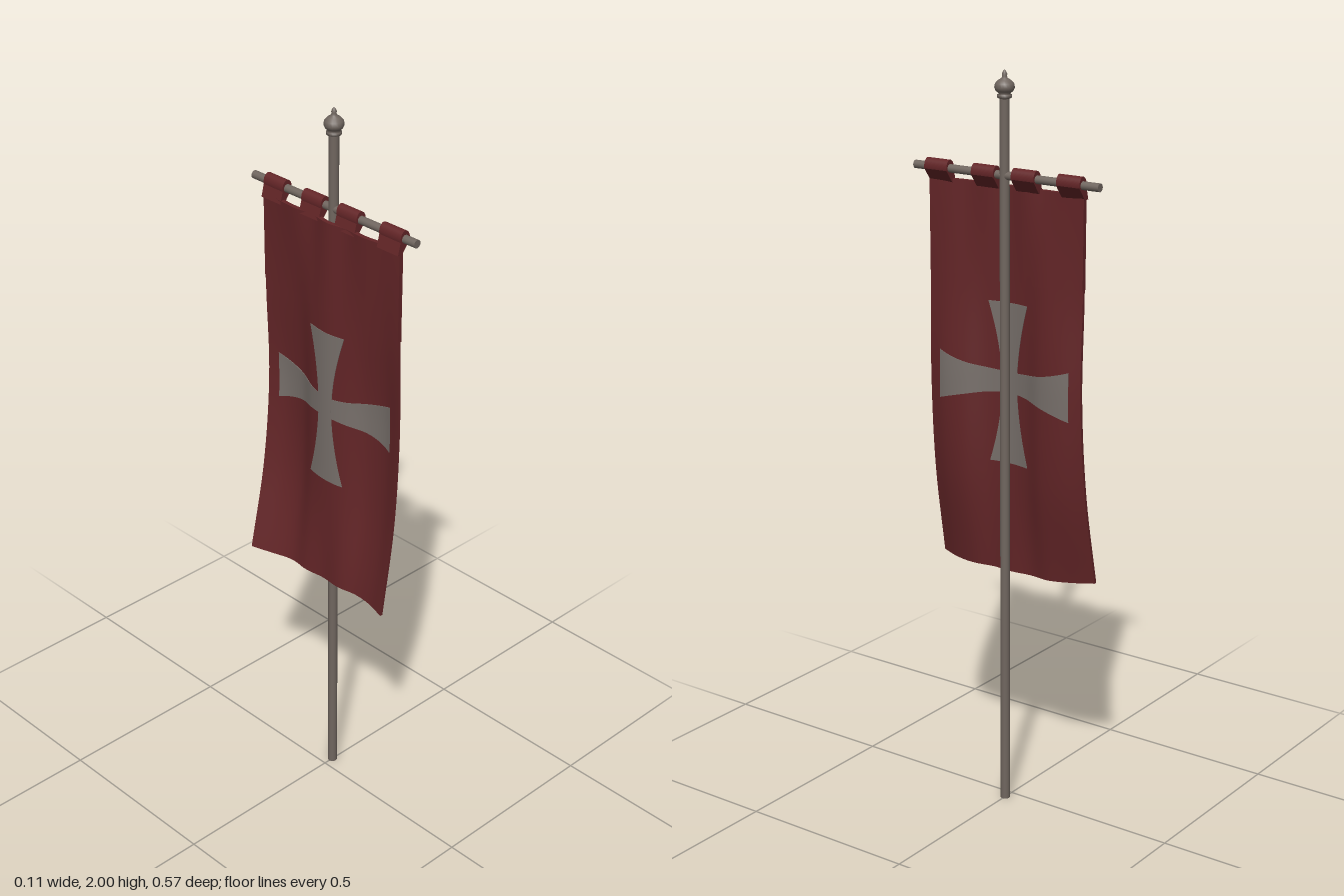
import * as THREE from 'three';

const POLE_X = 0.03, BAR_Y = 1.735;
const TOP = 1.705, BOTTOM = 0.656, Z0 = -0.237, Z1 = 0.245;

// Sideways sway of the cloth: rows run top to bottom, columns from back to front
const SWAY = [
  [0.018, 0.014, 0.010, 0.016, 0.006, 0.014, 0.010, 0.016, 0.018],
  [0.020, 0.026, 0.026, 0.012, 0.004, 0.012, 0.022, 0.026, 0.018],
  [0.026, 0.040, 0.036, 0.013, 0.002, 0.011, 0.036, 0.040, 0.022],
  [0.002, 0.026, 0.029, 0.008, 0.000, 0.005, 0.032, 0.030, 0.008],
  [-0.051, -0.027, -0.009, -0.014, -0.008, -0.012, -0.003, -0.010, -0.031],
];

// Smooth curve through evenly spaced values, t from 0 to 1
function smooth(values, t) {
  const n = values.length - 1;
  const f = THREE.MathUtils.clamp(t, 0, 1) * n;
  const i = Math.min(Math.floor(f), n - 1), k = f - i;
  const b = values[i], c = values[i + 1];
  const a = i > 0 ? values[i - 1] : 2 * b - c;
  const d = i + 2 <= n ? values[i + 2] : 2 * c - b;
  return b + 0.5 * k * (c - a + k * (2 * a - 5 * b + 4 * c - d + k * (3 * (b - c) + d - a)));
}

function clothX(y, z) {
  const t = (TOP - y) / (TOP - BOTTOM), u = (z - Z0) / (Z1 - Z0);
  return smooth(SWAY.map((row) => smooth(row, u)), t);
}

// Thin slab following the cloth; place(u, v) gives [z, y] for u, v in -1..1
function drape(name, material, half, nu, nv, place) {
  const geo = new THREE.BoxGeometry(2, 2, 2, 1, nv, nu);
  const p = geo.attributes.position;
  for (let i = 0; i < p.count; i++) {
    const [z, y] = place(p.getZ(i), p.getY(i));
    p.setXYZ(i, clothX(y, z) + p.getX(i) * half, y, z);
  }
  geo.computeVertexNormals();
  const mesh = new THREE.Mesh(geo, material);
  mesh.name = name;
  return mesh;
}

export function createModel() {
  const group = new THREE.Group();
  group.name = 'banner';
  const mat = (name, color) => {
    const m = new THREE.MeshStandardMaterial({ color });
    m.name = name;
    return m;
  };
  const metal = mat('pole grey', 0x70665f);
  const red = mat('cloth red', 0x632527);
  const pale = mat('cross grey', 0x78706b);
  const add = (name, geo, material, x = 0, y = 0, z = 0) => {
    const mesh = new THREE.Mesh(geo, material);
    mesh.name = name;
    mesh.position.set(x, y, z);
    group.add(mesh);
    return mesh;
  };

  // Upright pole and crossbar
  add('pole', new THREE.CylinderGeometry(0.013, 0.013, 1.94, 16), metal, POLE_X, 0.97, 0);
  add('crossbar', new THREE.CylinderGeometry(0.011, 0.011, 0.574, 16), metal, POLE_X, BAR_Y, -0.002)
    .rotation.x = Math.PI / 2;

  // Turned finial
  const profile = [
    [0.013, 1.928], [0.019, 1.931], [0.019, 1.938], [0.014, 1.941], [0.022, 1.947], [0.026, 1.956],
    [0.024, 1.966], [0.017, 1.974], [0.008, 1.979], [0.006, 1.984], [0.007, 1.989], [0.004, 1.996], [0, 2],
  ].map(([r, y]) => new THREE.Vector2(r, y));
  add('finial', new THREE.LatheGeometry(profile, 20), metal, POLE_X, 0, 0);

  // Cloth with slightly rippled hem and a doubled upper band
  const zAt = (u) => THREE.MathUtils.mapLinear(u, -1, 1, Z0, Z1);
  group.add(drape('cloth', red, 0.004, 56, 64, (u, v) => {
    const hem = BOTTOM + 0.006 * u * u * u * u;
    return [zAt(u), THREE.MathUtils.mapLinear(v, -1, 1, hem, TOP)];
  }));
  group.add(drape('upperBand', red, 0.006, 56, 16, (u, v) => [
    zAt(u), THREE.MathUtils.mapLinear(v, -1, 1, 1.463 + 0.004 * Math.sin(u * 5), TOP + 0.002),
  ]));

  // Flared cross showing on both faces
  const flare = (s) => 0.024 + 0.038 * Math.pow(Math.abs(s), 1.8);
  group.add(drape('crossUpright', pale, 0.0056, 12, 40, (u, v) => [u * flare(v), 1.183 + v * 0.218]));
  group.add(drape('crossArms', pale, 0.0056, 40, 12, (u, v) => [u * 0.205, 1.187 + v * (flare(u) + 0.004)]));

  // Hanging loops wrapped over the crossbar
  const loop = new THREE.Shape();
  loop.moveTo(-0.024, -0.038);
  loop.lineTo(-0.009, -0.038);
  loop.lineTo(0.015, -0.006);
  loop.absellipse(0, 0, 0.016, 0.022, -0.25, Math.PI + 0.25, false);
  loop.closePath();
  const hole = new THREE.Path();
  hole.absarc(0, 0, 0.0105, 0, Math.PI * 2, true);
  loop.holes.push(hole);
  for (const [a, b] of [[-0.238, -0.168], [-0.1, -0.03], [0.025, 0.095], [0.173, 0.245]]) {
    const geo = new THREE.ExtrudeGeometry(loop, { depth: b - a, bevelEnabled: false, curveSegments: 14 });
    add('hangingLoop', geo, red, POLE_X, BAR_Y, a);
  }
  return group;
}
